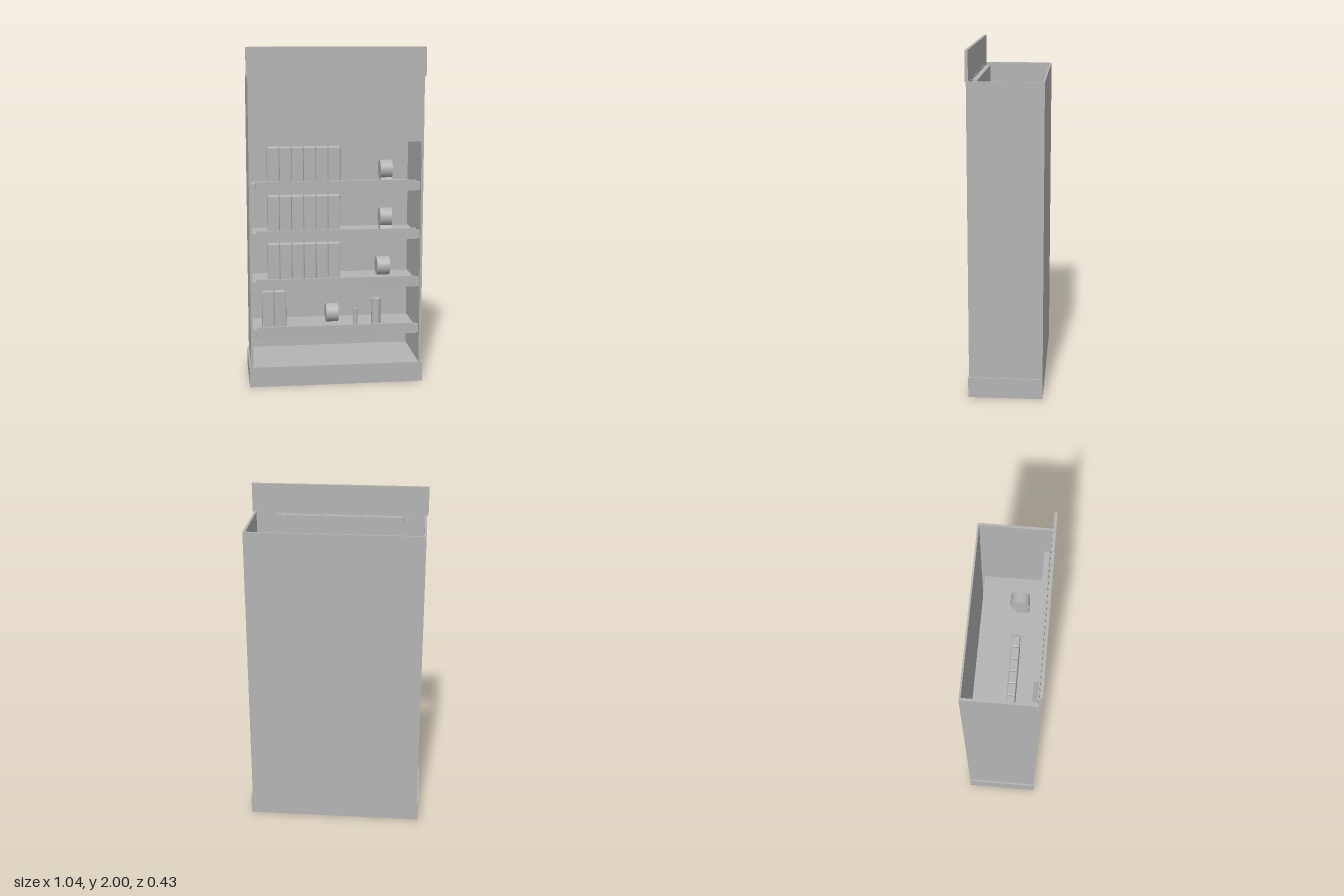
import * as THREE from 'three';
import { RoundedBoxGeometry } from 'three/addons/geometries/RoundedBoxGeometry.js';

export function createModel() {
  const root = new THREE.Group();
  root.name = 'displayCabinet';
  const grey = new THREE.MeshStandardMaterial({ color: 0xb4b4b4 });
  grey.name = 'cabinet grey';

  const add = (name, geometry, x, y, z, parent = root) => {
    const mesh = new THREE.Mesh(geometry, grey);
    mesh.name = name;
    mesh.position.set(x, y, z);
    parent.add(mesh);
    return mesh;
  };
  // Box given by its limits on each axis
  const box = (name, x0, x1, y0, y1, z0, z1, parent) =>
    add(name, new THREE.BoxGeometry(x1 - x0, y1 - y0, z1 - z0),
      (x0 + x1) / 2, (y0 + y1) / 2, (z0 + z1) / 2, parent);

  // Carcass: plinth, side walls, back, header and raised sign board
  box('plinth', -0.52, 0.52, 0, 0.12, -0.215, 0.215);
  for (const s of [-1, 1]) {
    const wall = box('sideWall', -0.007, 0.007, 0.12, 1.83, -0.215, 0.211);
    wall.position.x = s * 0.504;
  }
  box('backPanel', -0.497, 0.497, 0.12, 1.83, -0.215, -0.205);
  box('headerPanel', -0.497, 0.497, 1.455, 1.83, 0.196, 0.211);
  box('signBoard', -0.52, 0.52, 1.83, 2, 0.198, 0.215);
  box('headerBacking', -0.373, 0.373, 1.47, 1.825, 0.161, 0.19);

  // Goods
  const packet = (x, y, parent) =>
    add('packet', new RoundedBoxGeometry(0.0727, 0.235, 0.047, 3, 0.007), x, y + 0.1175, 0.04, parent);
  const roll = (x, y, z, r, w, parent) => {
    const mesh = add('roll', new THREE.CylinderGeometry(r, r, w, 32), x, y, z, parent);
    mesh.rotation.z = Math.PI / 2;
  };
  const can = (x, y, r, h, parent) =>
    add('can', new THREE.CylinderGeometry(r, r, h, 32), x, y + h / 2, 0.04, parent);

  // Shelves, each with a front rail and a taller label strip
  [0.297, 0.586, 0.876, 1.166].forEach((y, i) => {
    const shelf = new THREE.Group();
    shelf.name = 'shelf' + (i + 1);
    root.add(shelf);
    box('shelfBoard', -0.497, 0.497, y, y + 0.015, -0.186, 0.157, shelf);
    box('frontRail', -0.497, 0.497, y, y + 0.048, 0.156, 0.19, shelf);
    box('labelStrip', -0.473, 0.473, y, y + 0.064, 0.186, 0.2, shelf);

    const top = y + 0.015;
    const count = i === 0 ? 2 : 6;
    const start = i === 0 ? -0.399 : -0.361;
    for (let k = 0; k < count; k++) packet(start + k * 0.0727, top, shelf);

    if (i === 0) {
      roll(-0.012, y + 0.102, 0.041, 0.056, 0.074, shelf);
      can(0.135, top, 0.014, 0.108, shelf);
      can(0.262, top, 0.028, 0.168, shelf);
    } else if (i === 1) {
      roll(0.3, y + 0.098, 0.041, 0.056, 0.078, shelf);
    } else {
      roll(0.313, y + 0.109, 0.041, 0.056, 0.072, shelf);
      roll(0.313, y + 0.026, 0.058, 0.04, 0.072, shelf);
    }
  });
  return root;
}
